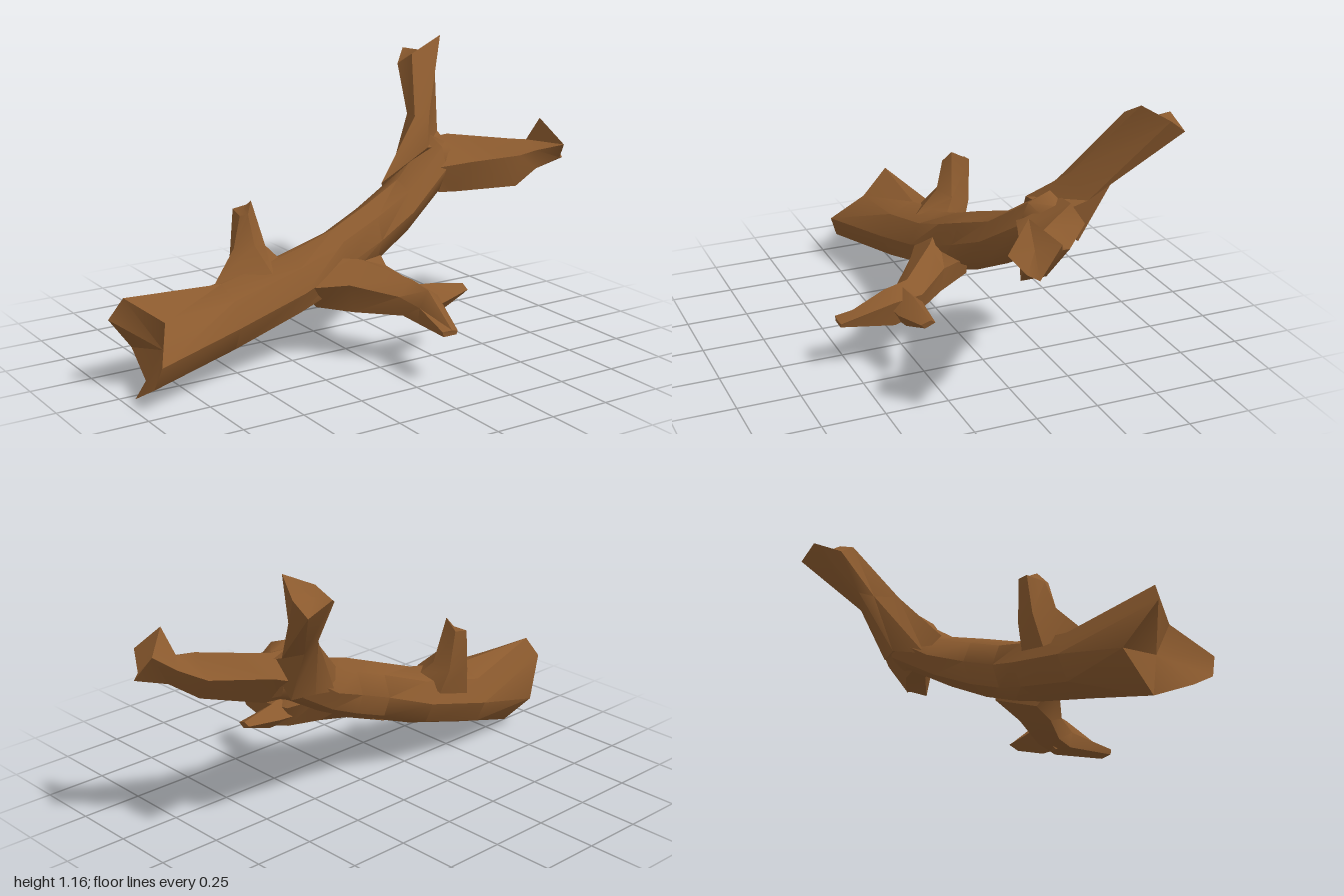
import * as THREE from 'three';
import { toCreasedNormals } from 'three/addons/utils/BufferGeometryUtils.js';

// Skin between rings of equal point count; both ends closed with a fan to their centre.
// dent pulls the last cap's centre inwards along the given offset.
function loft(rings, dent = [0, 0, 0]) {
  const n = rings[0].length, pos = rings.flat(2), index = [];
  const centre = (r) => [0, 1, 2].map((k) => r.reduce((s, p) => s + p[k], 0) / n);
  const last = rings.length - 1, base = rings.length * n;
  pos.push(...centre(rings[0]), ...centre(rings[last]).map((v, k) => v + dent[k]));
  for (let j = 0; j < n; j++) {
    const k = (j + 1) % n;
    for (let i = 0; i < last; i++) {
      const a = i * n + j, b = i * n + k;
      index.push(a, b, b + n, a, b + n, a + n);
    }
    index.push(base, k, j, base + 1, last * n + j, last * n + k);
  }
  // Turn the faces outwards if the rings ran the other way round
  const P = (i) => new THREE.Vector3().fromArray(pos, i * 3);
  let volume = 0;
  for (let i = 0; i < index.length; i += 3) {
    volume += P(index[i]).dot(P(index[i + 1]).cross(P(index[i + 2])));
  }
  if (volume < 0) index.reverse();
  const g = new THREE.BufferGeometry();
  g.setAttribute('position', new THREE.Float32BufferAttribute(pos, 3));
  g.setIndex(index);
  return toCreasedNormals(g, 0.75);
}

// Eight-sided trunk section, upright at x
function section(x, y, z, ry, rz) {
  return Array.from({ length: 8 }, (_, i) => {
    const a = (i * Math.PI) / 4;
    return [x, y + ry * Math.cos(a), z + rz * Math.sin(a)];
  });
}

export function createModel() {
  const group = new THREE.Group();
  const bark = new THREE.MeshStandardMaterial({ color: 0x8b5a2e });
  bark.name = 'bark brown';
  const add = (name, rings, dent) => {
    const mesh = new THREE.Mesh(loft(rings, dent), bark);
    mesh.name = name;
    group.add(mesh);
  };

  // Trunk, running from the fork down to the splintered break
  add('trunk', [
    section(0.58, 0.67, -0.14, 0.09, 0.08),
    section(0.51, 0.675, -0.15, 0.12, 0.125),
    section(0.3, 0.535, -0.08, 0.11, 0.12),
    section(0.12, 0.455, -0.03, 0.125, 0.11),
    section(-0.05, 0.385, -0.01, 0.125, 0.105),
    section(-0.25, 0.31, -0.025, 0.125, 0.135),
    section(-0.55, 0.23, -0.02, 0.135, 0.15),
    [[-0.95, 0.375, -0.04], [-0.85, 0.3, 0.1], [-0.93, 0.18, 0.23], [-0.95, 0.09, 0.2],
      [-0.975, 0.025, 0.09], [-0.87, 0, 0], [-0.88, 0.14, -0.135], [-1, 0.29, -0.07]],
  ], [0.09, 0, 0]);

  // Fork arm rising to the back
  add('upperBranch', [
    [[0.27, 0.62, -0.15], [0.45, 0.76, -0.08], [0.6, 0.74, -0.14], [0.57, 0.6, -0.24], [0.47, 0.6, -0.26], [0.32, 0.55, -0.2]],
    [[0.49, 0.86, -0.23], [0.55, 0.87, -0.21], [0.62, 0.78, -0.25], [0.6, 0.82, -0.35], [0.56, 0.87, -0.38], [0.52, 0.85, -0.33]],
    [[0.59, 1.09, -0.4], [0.73, 1.16, -0.39], [0.77, 1.1, -0.49], [0.76, 1.05, -0.555], [0.65, 1.09, -0.555], [0.565, 1.04, -0.47]],
  ]);

  // Fork arm bending to the front, with a flared broken end
  add('sideBranch', [
    [[0.47, 0.77, -0.18], [0.45, 0.68, -0.04], [0.5, 0.57, -0.06], [0.5, 0.56, -0.14], [0.5, 0.65, -0.26]],
    [[0.62, 0.78, -0.18], [0.6, 0.7, 0.02], [0.56, 0.565, -0.05], [0.6, 0.56, -0.12], [0.64, 0.7, -0.23]],
    [[0.8, 0.775, 0.02], [0.79, 0.72, 0.1], [0.78, 0.59, 0.09], [0.8, 0.6, 0], [0.82, 0.7, -0.08]],
    [[0.86, 0.77, 0.05], [0.85, 0.74, 0.13], [0.86, 0.66, 0.12], [0.9, 0.67, 0.05], [0.9, 0.74, -0.01]],
    [[0.88, 0.87, 0.11], [0.93, 0.77, 0.21], [0.96, 0.7, 0.15], [1, 0.69, 0.12], [0.98, 0.8, 0.03]],
  ], [-0.03, 0, -0.02]);

  // Twig leaving the front of the trunk
  add('frontTwig', [
    [[-0.15, 0.42, 0.03], [0.14, 0.4, 0.02], [0.13, 0.33, 0.02], [-0.15, 0.21, 0.02], [-0.26, 0.32, 0.08]],
    [[-0.01, 0.41, 0.12], [0.12, 0.36, 0.11], [0.11, 0.26, 0.12], [-0.06, 0.21, 0.15], [-0.09, 0.33, 0.17]],
    [[0.13, 0.345, 0.27], [0.19, 0.3, 0.23], [0.17, 0.21, 0.25], [0.08, 0.21, 0.29], [0.06, 0.29, 0.29]],
    [[0.14, 0.325, 0.37], [0.2, 0.29, 0.35], [0.18, 0.185, 0.34], [0.1, 0.195, 0.36], [0.1, 0.26, 0.37]],
    [[0.12, 0.222, 0.555], [0.15, 0.215, 0.55], [0.145, 0.2, 0.55], [0.085, 0.2, 0.55], [0.08, 0.22, 0.55]],
  ]);

  // Short prong off the end of the twig
  add('twigProng', [
    [[0.14, 0.33, 0.3], [0.14, 0.26, 0.36], [0.14, 0.19, 0.32], [0.15, 0.26, 0.22]],
    [[0.23, 0.315, 0.28], [0.23, 0.25, 0.345], [0.22, 0.195, 0.31], [0.23, 0.26, 0.23]],
    [[0.38, 0.285, 0.27], [0.375, 0.27, 0.31], [0.37, 0.25, 0.29], [0.375, 0.27, 0.25]],
  ]);

  // Snapped stub on top of the trunk
  add('topStub', [
    [[-0.56, 0.35, -0.06], [-0.36, 0.39, 0.04], [-0.27, 0.41, -0.06], [-0.3, 0.34, -0.15], [-0.45, 0.3, -0.16]],
    [[-0.45, 0.47, -0.1], [-0.38, 0.48, -0.06], [-0.31, 0.46, -0.1], [-0.32, 0.44, -0.18], [-0.42, 0.44, -0.185]],
    [[-0.41, 0.59, -0.12], [-0.39, 0.6, -0.09], [-0.36, 0.645, -0.12], [-0.34, 0.61, -0.19], [-0.4, 0.6, -0.195]],
  ]);

  return group;
}
